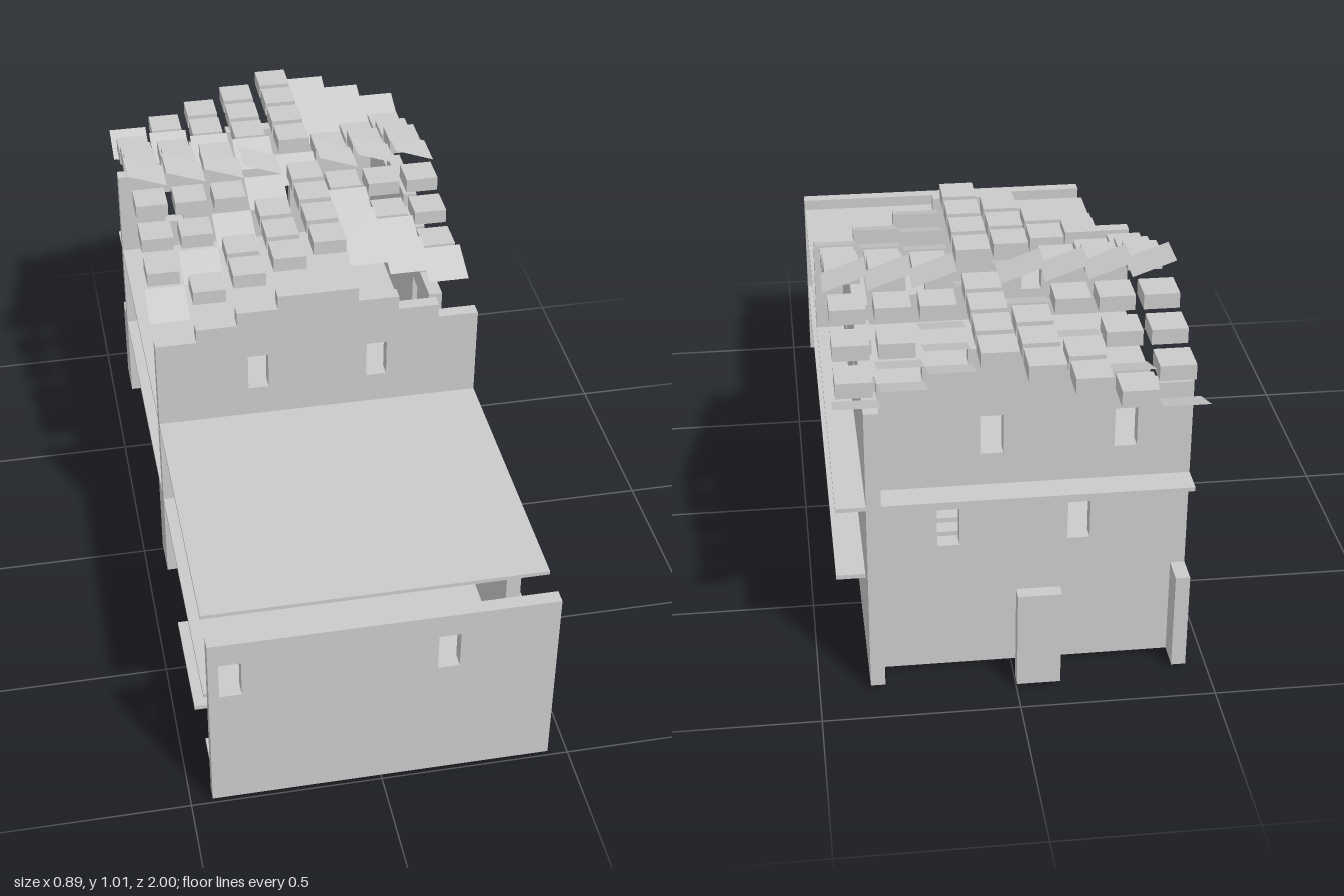
import * as THREE from 'three';

const M = 1 / 9;      // plan module
const RISE = 0.0405;  // roof step height
const T = 0.037;      // wall thickness

export function createModel() {
  const model = new THREE.Group();
  const grey = new THREE.MeshStandardMaterial({ color: 0xcacaca });
  grey.name = 'plainGrey';
  const sheetGrey = grey;
  sheetGrey.side = THREE.DoubleSide;

  const add = (name, geometry) => {
    const mesh = new THREE.Mesh(geometry, grey);
    mesh.name = name;
    model.add(mesh);
    return mesh;
  };
  // box given by its min and max on each axis
  const box = (name, x0, x1, y0, y1, z0, z1) =>
    add(name, new THREE.BoxGeometry(x1 - x0, y1 - y0, z1 - z0))
      .position.set((x0 + x1) / 2, (y0 + y1) / 2, (z0 + z1) / 2);
  const rect = (Type, x0, x1, y0, y1) => {
    const p = new Type();
    p.moveTo(x0, y0);
    p.lineTo(x1, y0);
    p.lineTo(x1, y1);
    p.lineTo(x0, y1);
    p.closePath();
    return p;
  };
  // upright wall from an outline, with window holes given by their centres
  const wall = (outline, windows) => {
    const shape = new THREE.Shape(outline.map(([x, y]) => new THREE.Vector2(x, y)));
    for (const [x, y] of windows) shape.holes.push(rect(THREE.Path, x - 0.028, x + 0.028, y - 0.053, y + 0.053));
    return new THREE.ExtrudeGeometry(shape, { depth: T, bevelEnabled: false });
  };
  // stepped gable running from right to left over eight modules
  const gable = (start, right = start + 8 * M) => {
    const points = [];
    [0, 1, 2, 3, 3, 2, 1, 0].forEach((h, i) => {
      const y = 0.81 + h * RISE;
      const a = Math.min(start + i * M, right), b = Math.min(start + (i + 1) * M, right);
      if (b > a) points.unshift([b, y], [a, y]);
    });
    return points;
  };
  const W = 4 * M;
  const low = 0.43, high = 0.692, base = 0.015;

  // front wall, set apart from the floors
  add('frontWall', wall([[-W, base], [W, base], [W, 0.55], [-W, 0.55]], [[-0.39, low], [0.163, low]]))
    .position.z = 1 - T;

  // cross wall in the middle: stepped above, narrower below the upper floor
  add('middleWall', wall([[-W, 0.55], [W, 0.55], ...gable(-W)], [[-0.167, high], [0.163, high]]))
    .position.z = 0.073;
  box('middleWallLower', -W, 3 * M, base, 0.54, 0.073, 0.073 + T);

  // back wall
  add('backWall', wall([[-W, base], [3 * M, base], ...gable(-W, 3 * M)],
    [[0.053, high], [-0.28, high], [0.163, low], [-0.167, low]]))
    .position.z = -0.815;

  // long side wall, with u running from front to back
  const side = wall([[-8 * M, base], [8 * M, base], ...gable(0), [0, 0.55], [-8 * M, 0.55]],
    [[-0.503, low], [0.275, low], [0.608, low], [0.163, high], [0.497, high]]);
  side.rotateY(Math.PI / 2);
  add('sideWall', side).position.x = 3 * M;

  // floors that jut out past the side wall; the lower has a stair opening
  box('upperFloor', -W, W, 0.54, 0.551, -8 * M, 8 * M);
  const floor = rect(THREE.Shape, -W, W, -8 * M, 7 * M);
  floor.holes.push(rect(THREE.Path, -M, 3 * M - 0.002, 0.002, 2 * M));
  const floorGeometry = new THREE.ExtrudeGeometry(floor, { depth: 0.012, bevelEnabled: false });
  floorGeometry.rotateX(-Math.PI / 2);
  add('lowerFloor', floorGeometry).position.y = 0.27;

  // two flights of thin stair slabs
  for (let i = 0; i < 7; i++) {
    const x = -0.24 + i * 0.08, y = i * RISE;
    box('lowerStair', x, 3 * M, y, y + 0.013, -2 * M, 0);
    if (i > 0) box('upperStair', x, 3 * M, 0.27 + y - 0.01, 0.27 + y + 0.003, -7 * M, -5 * M);
  }

  // ground mat and stepping tiles
  box('groundMat', -W, -M, 0, 0.013, 3 * M, 6 * M);
  for (let i = 0; i < 4; i++) {
    const x = -3.5 * M + i * M;
    box('floorTile', x - 0.045, x + 0.045, base, 0.027, 0.80, 0.89);
  }

  // loose door panels
  box('backDoor', -M, 0, base, 0.283, -0.925, -0.889);
  box('sideDoor', -W, -W + T, base, 0.283, -8 * M, -7 * M);
  box('sideDoor', -W, -W + T, base, 0.283, 0, M);

  // thin roof sheet over one cell, from low y to y + RISE along one axis
  const sheet = (x, y, z, alongX) => {
    const g = new THREE.PlaneGeometry(M, M);
    g.rotateX(-Math.PI / 2);
    const p = g.attributes.position;
    for (let i = 0; i < p.count; i++) {
      const t = 0.5 - (alongX ? p.getX(i) : p.getZ(i)) / M;
      p.setY(i, t * RISE);
    }
    g.computeVertexNormals();
    add('roofSheet', g).position.set(x, y, z);
  };

  // crossed roof: blocks on the slopes, sheets on the ridge and in the valleys
  const ridgeY = 0.9715;
  for (let i = 0; i < 8; i++) {
    const x = (i - 3.5) * M;
    const byX = ridgeY - Math.abs(i - 4) * RISE;
    for (let j = 0; j < 9; j++) {
      const z = -(j + 0.5) * M;
      const d = Math.abs(j - 4);
      const byZ = ridgeY - d * RISE;
      if (d === 0) {
        sheet(x, i === 4 ? ridgeY - RISE : ridgeY, z, i !== 4);
      } else if ((i < 4 && 4 - i === d) || (i > 4 && i - 4 < d)) {
        sheet(x, byX, z, false);
      } else {
        const y = Math.max(byX, byZ);
        box('roofBlock', x - 0.045, x + 0.045, y, y + RISE, z - 0.045, z + 0.045);
      }
    }
  }
  return model;
}
